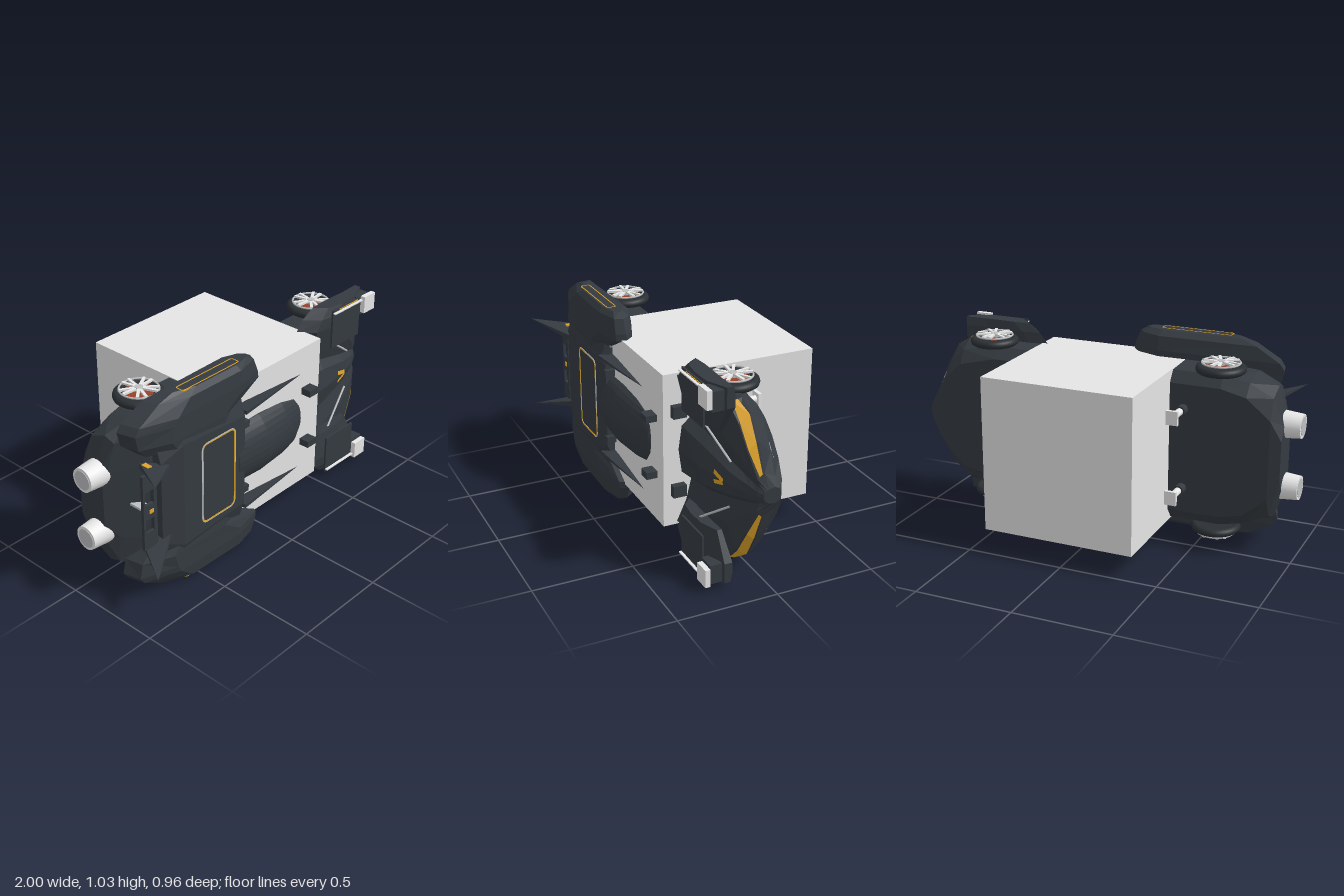
import * as THREE from 'three';

const mat = (name, color) => {
  const m = new THREE.MeshStandardMaterial({ color });
  m.name = name;
  return m;
};

export function createModel() {
  const body = mat('charcoal body', 0x343a40);
  const tyreMat = mat('black rubber', 0x2b3034);
  const boxMat = mat('grey block', 0xe4e4e4);
  const light = mat('light metal', 0xfafafa);
  const gold = mat('gold trim', 0xdfa428);
  const red = mat('rust red', 0x98402a);
  const trim = mat('silver trim', 0xbcbec0);
  gold.side = THREE.DoubleSide;

  const root = new THREE.Group();
  root.name = 'splitCar';
  // The car lies with its roof towards +z; local y = 0 is its centre line.
  const car = new THREE.Group();
  car.name = 'car';
  car.position.y = 0.515;
  root.add(car);

  const add = (name, geo, material, x = 0, y = 0, z = 0, parent = car) => {
    const m = new THREE.Mesh(geo, material);
    m.name = name;
    m.position.set(x, y, z);
    parent.add(m);
    return m;
  };
  const box = (name, material, x0, x1, y0, y1, z0, z1) =>
    add(name, new THREE.BoxGeometry(x1 - x0, Math.abs(y1 - y0), z1 - z0), material,
      (x0 + x1) / 2, (y0 + y1) / 2, (z0 + z1) / 2);
  const rod = (name, a, b, r) => add(name, new THREE.TubeGeometry(
    new THREE.LineCurve3(new THREE.Vector3(...a), new THREE.Vector3(...b)), 1, r, 6), trim);
  const bothSides = (fn) => [1, -1].forEach((s) => fn(s, s > 0 ? 'left' : 'right'));

  // Faceted skin through closed rings of equal length, turned outwards by its volume
  const loft = (rings) => {
    const tris = [];
    const n = rings[0].length;
    const mid = (r) => [0, 1, 2].map((k) => r.reduce((a, p) => a + p[k], 0) / n);
    for (let i = 0; i < rings.length - 1; i++) {
      for (let j = 0; j < n; j++) {
        const k = (j + 1) % n;
        const a = rings[i][j], b = rings[i][k], c = rings[i + 1][k], d = rings[i + 1][j];
        tris.push([a, b, c], [a, c, d]);
      }
    }
    const first = rings[0], last = rings[rings.length - 1];
    for (let j = 0; j < n; j++) {
      const k = (j + 1) % n;
      tris.push([first[k], first[j], mid(first)], [last[j], last[k], mid(last)]);
    }
    const v = (p) => new THREE.Vector3(...p);
    const c0 = v(mid(first));
    const vol = tris.reduce((s, t) =>
      s + v(t[0]).sub(c0).dot(v(t[1]).sub(c0).cross(v(t[2]).sub(c0))), 0);
    if (vol < 0) tris.forEach((t) => t.reverse());
    const g = new THREE.BufferGeometry();
    g.setAttribute('position', new THREE.Float32BufferAttribute(tris.flat(2), 3));
    g.computeVertexNormals();
    return g;
  };
  // Half section [half width, height] from floor to centre ridge, mirrored to a ring
  const section = ([x, pts]) => [
    ...pts.map(([y, z]) => [x, y, z]),
    ...pts.slice(0, -1).reverse().map(([y, z]) => [x, -y, z]),
  ];
  // Rounded rectangle outline in the XY plane
  const frame = (w, h, r, t) => {
    const rect = (P, a, b, q) => {
      const p = new P();
      p.absarc(a - q, b - q, q, 0, Math.PI / 2);
      p.absarc(q - a, b - q, q, Math.PI / 2, Math.PI);
      p.absarc(q - a, q - b, q, Math.PI, Math.PI * 1.5);
      p.absarc(a - q, q - b, q, Math.PI * 1.5, Math.PI * 2);
      return p;
    };
    const s = rect(THREE.Shape, w / 2, h / 2, r);
    s.holes.push(rect(THREE.Path, w / 2 - t, h / 2 - t, r - t));
    return new THREE.ExtrudeGeometry(s, { depth: 0.006, bevelEnabled: false, curveSegments: 5 });
  };

  // Large block parting the two halves of the car
  box('centreBlock', boxMat, -0.365, 0.415, -0.395, 0.39, -0.485, 0.3);

  // Front hull with folded bonnet ridges
  const nose = [
    [0.41, [[0.33, -0.02], [0.385, 0.03], [0.39, 0.13], [0.38, 0.23], [0.27, 0.18], [0.165, 0.155], [0.12, 0.205], [0, 0.222]]],
    [0.6, [[0.33, -0.02], [0.385, 0.03], [0.39, 0.13], [0.375, 0.22], [0.25, 0.18], [0.14, 0.15], [0.1, 0.19], [0, 0.21]]],
    [0.8, [[0.28, -0.02], [0.35, 0.02], [0.4, 0.095], [0.38, 0.16], [0.2, 0.165], [0.09, 0.135], [0.06, 0.165], [0, 0.175]]],
    [0.87, [[0.22, -0.02], [0.29, 0.02], [0.35, 0.085], [0.31, 0.147], [0.16, 0.145], [0.07, 0.12], [0.045, 0.145], [0, 0.155]]],
    [0.93, [[0.14, -0.02], [0.18, 0.02], [0.24, 0.08], [0.2, 0.133], [0.1, 0.125], [0.055, 0.11], [0.035, 0.125], [0, 0.13]]],
    [0.975, [[0.06, -0.015], [0.08, 0.02], [0.105, 0.072], [0.08, 0.105], [0.06, 0.1], [0.04, 0.095], [0.02, 0.105], [0, 0.108]]],
    [1.0, [[0.02, 0], [0.03, 0.01], [0.04, 0.03], [0.035, 0.06], [0.03, 0.07], [0.02, 0.08], [0.01, 0.085], [0, 0.085]]],
  ];
  add('frontHull', loft(nose.map(section)), body);

  // Rear hull
  const tail = [
    [-0.36, [[0.33, -0.02], [0.385, 0.02], [0.39, 0.2], [0.37, 0.33], [0.2, 0.35], [0, 0.35]]],
    [-0.62, [[0.33, -0.02], [0.385, 0.02], [0.39, 0.2], [0.37, 0.33], [0.2, 0.35], [0, 0.35]]],
    [-0.75, [[0.3, -0.02], [0.36, 0.03], [0.385, 0.15], [0.37, 0.27], [0.2, 0.28], [0, 0.28]]],
    [-0.87, [[0.2, -0.015], [0.3, 0.03], [0.34, 0.12], [0.32, 0.18], [0.18, 0.19], [0, 0.19]]],
    [-0.925, [[0.1, 0], [0.17, 0.04], [0.18, 0.09], [0.17, 0.13], [0.1, 0.15], [0, 0.15]]],
  ];
  add('rearHull', loft(tail.map(section)), body);

  // Roof deck and its outlined hatch
  const deck = [[-0.74, 0.3, 0.335], [-0.62, 0.38, 0.36], [-0.21, 0.34, 0.36], [-0.19, 0.31, 0.34]];
  add('roofDeck', loft(deck.map(([x, w, h]) =>
    section([x, [[w, 0.25], [w, h - 0.03], [w * 0.72, h], [0, h]]]))), body);
  add('hatchOutline', frame(0.23, 0.44, 0.035, 0.005), trim, -0.39, 0, 0.356);
  add('hatchInnerOutline', frame(0.22, 0.43, 0.03, 0.005), gold, -0.39, 0, 0.357);

  // Canopy bulge running into the block
  const canopy = [[-0.25, 0.17, 0.365], [-0.05, 0.175, 0.377], [0.12, 0.165, 0.36], [0.22, 0.15, 0.335], [0.265, 0.1, 0.315], [0.275, 0.06, 0.303]];
  add('canopy', loft(canopy.map(([x, w, h]) => {
    const arc = [];
    for (let i = 0; i <= 8; i++) {
      const a = (i / 8) * Math.PI / 2;
      arc.push([w * Math.cos(a), 0.26 + (h - 0.26) * Math.sin(a)]);
    }
    return section([x, arc]);
  })), body);

  // Bonnet accent, two slanted bars
  const bar = new THREE.Shape([[0.725, 0.014], [0.775, 0], [0.795, 0], [0.795, 0.016], [0.725, 0.036]].map((p) => new THREE.Vector2(...p)));
  bothSides((s, side) => {
    const g = new THREE.ShapeGeometry(bar);
    const p = g.attributes.position;
    for (let i = 0; i < p.count; i++) {
      p.setXYZ(i, p.getX(i), s * p.getY(i), 0.217 - (p.getX(i) - 0.6) * 0.175 - p.getY(i) * 0.15);
    }
    g.computeVertexNormals();
    add(side + 'BonnetAccent', g, gold);
  });

  // Rear spoiler frame held between the tail fins
  [[-0.2, -0.11], [-0.04, 0.04], [0.11, 0.2]].forEach(([a, b]) =>
    box('spoilerPad', body, -0.85, -0.765, a, b, 0.315, 0.33));
  box('spoilerBar', body, -0.785, -0.765, -0.2, 0.2, 0.31, 0.33);
  box('spoilerRearBar', body, -0.85, -0.838, -0.2, 0.2, 0.315, 0.33);
  box('spoilerLatch', gold, -0.815, -0.79, -0.01, 0.01, 0.328, 0.334);
  box('spoilerStrut', trim, -0.83, -0.78, -0.006, 0.006, 0.22, 0.315);

  // Fender profiles: [share of length, height]; rings give [y, rear x, front x, height scale]
  const rearProfile = [[0, 0.21], [0.03, 0.29], [0.26, 0.345], [0.78, 0.35], [0.97, 0.32], [1, 0.28], [0.95, 0.24], [0.8, 0.2]];
  const frontProfile = [[0, 0.17], [0.15, 0.245], [0.4, 0.263], [0.7, 0.258], [1, 0.2], [1, 0.16], [0.7, 0.165], [0.23, 0.16]];
  const fender = (profile, cz, s, rings) => loft(rings.map(([y, x0, x1, k]) =>
    profile.map(([t, z]) => [x0 + (x1 - x0) * t, s * y, cz + (z - cz) * k])));

  bothSides((s, side) => {
    // Fenders
    add(side + 'RearFender', fender(rearProfile, 0.29, s,
      [[0.26, -0.8, -0.21, 1.1], [0.31, -0.85, -0.2, 1.15], [0.385, -0.87, -0.055, 1.15], [0.42, -0.845, -0.06, 1.15], [0.49, -0.72, -0.09, 1], [0.515, -0.63, -0.13, 0.65]]), body);
    const outline = frame(0.37, 0.05, 0.012, 0.005);
    outline.rotateX(Math.PI / 2);
    add(side + 'FenderOutline', outline, gold, -0.39, s * 0.513 + 0.003, 0.292);
    add(side + 'FrontFender', fender(frontProfile, 0.2, s,
      [[0.25, 0.45, 0.78, 0.6], [0.385, 0.385, 0.86, 1], [0.44, 0.43, 0.86, 1], [0.485, 0.5, 0.86, 0.8]]), body);
    box(side + 'FenderPlate', body, 0.55, 0.77, s * 0.27, s * 0.48, 0.26, 0.27);
    box(side + 'FenderStripe', gold, 0.6, 0.75, s * 0.472, s * 0.476, 0.267, 0.273);
    box(side + 'FenderRail', light, 0.55, 0.78, s * 0.462, s * 0.468, 0.268, 0.284);
    box(side + 'HeadLamp', light, 0.775, 0.86, s * 0.395, s * 0.485, 0.27, 0.296);
    box(side + 'LampFoot', body, 0.765, 0.855, s * 0.38, s * 0.475, 0.21, 0.27);

    // Gold intake panel set on the steep nose flank
    const at = (i, t) => {
      const [x, p] = nose[i];
      const mix = (k) => p[2][k] + (p[3][k] - p[2][k]) * t;
      return [x + 0.005, s * (mix(0) + 0.005), mix(1) + 0.003];
    };
    const edges = [[2, 0.35, 0.75], [3, 0.15, 0.92], [4, 0.2, 0.92], [5, 0.25, 0.7]];
    const strip = [];
    for (let n = 0; n < edges.length - 1; n++) {
      const [i, a, b] = edges[n], [i2, a2, b2] = edges[n + 1];
      const q = [at(i, a), at(i, b), at(i2, b2), at(i2, a2)];
      if (s > 0) q.reverse();
      strip.push(q[0], q[1], q[2], q[0], q[2], q[3]);
    }
    const panel = new THREE.BufferGeometry();
    panel.setAttribute('position', new THREE.Float32BufferAttribute(strip.flat(), 3));
    panel.computeVertexNormals();
    add(side + 'IntakePanel', panel, gold);
    rod(side + 'BonnetRod', [0.62, s * 0.26, 0.215], [0.83, s * 0.11, 0.16], 0.006);
    rod(side + 'ChinRod', [0.905, s * 0.215, 0.02], [0.935, s * 0.15, 0.012], 0.005);

    // Thrusters
    const nozzle = new THREE.CylinderGeometry(0.06, 0.073, 0.15, 24);
    nozzle.rotateZ(Math.PI / 2);
    add(side + 'Thruster', nozzle, light, -0.925, s * 0.158, 0.103);
    const core = new THREE.CylinderGeometry(0.047, 0.047, 0.004, 24);
    core.rotateZ(Math.PI / 2);
    add(side + 'ThrusterCore', core, trim, -1.0, s * 0.158, 0.103);

    // Tail fins and long vanes, each tapering to a point
    const blade = (a, b, tip, t) => loft([
      [[a[0], s * (a[1] - t), a[2]], [b[0], s * (b[1] - t), b[2]], [b[0], s * (b[1] + t), b[2]], [a[0], s * (a[1] + t), a[2]]],
      [0, 1, 2, 3].map(() => [tip[0], s * tip[1], tip[2]]),
    ]);
    add(side + 'TailFin', blade([-0.8, 0.21, 0.26], [-0.69, 0.19, 0.34], [-0.915, 0.25, 0.478], 0.015), body);
    box(side + 'FinAccent', gold, -0.81, -0.785, s * 0.222, s * 0.23, 0.285, 0.325);
    add(side + 'Vane', blade([-0.22, 0.265, 0.295], [-0.21, 0.265, 0.37], [0.24, 0.27, 0.325], 0.01), body);

    // Canopy blocks, joint blocks and pegs
    box(side + 'CanopyBlock', body, 0.28, 0.345, s * 0.13, s * 0.165, 0.29, 0.355);
    box(side + 'DeckBlock', body, -0.21, -0.165, s * 0.165, s * 0.2, 0.29, 0.35);
    box(side + 'JointBlock', body, 0.4, 0.45, s * 0.175, s * 0.235, 0.195, 0.262);
    [-0.435, 0.458].forEach((x) => {
      const peg = (name, r, z0, z1, m) => {
        const g = new THREE.CylinderGeometry(r, r, z1 - z0, 16);
        g.rotateX(Math.PI / 2);
        add(name, g, m, x, s * 0.205, (z0 + z1) / 2);
      };
      peg(side + 'PegSocket', 0.026, -0.066, 0, body);
      peg(side + 'Peg', 0.018, -0.16, -0.06, light);
      box(side + 'PegFoot', light, x - 0.03, x + 0.03, s * 0.17, s * 0.24, -0.176, -0.158);
    });

    // Wheels
    [[-0.595, 'Rear'], [0.635, 'Front']].forEach(([x, end]) => {
      const wheel = new THREE.Group();
      wheel.name = side + end + 'Wheel';
      wheel.position.set(x, s * 0.408, 0.058);
      wheel.rotation.x = -s * Math.PI / 2;
      car.add(wheel);
      add('tyre', new THREE.TorusGeometry(0.103, 0.021, 10, 36), tyreMat, 0, 0, 0, wheel);
      const disc = new THREE.CylinderGeometry(0.09, 0.09, 0.03, 32);
      disc.rotateX(Math.PI / 2);
      add('wheelDisc', disc, tyreMat, 0, 0, 0, wheel);
      add('brakeDisc', new THREE.RingGeometry(0.02, 0.07, 32), red, 0, 0, 0.018, wheel);
      add('rimRing', new THREE.TorusGeometry(0.093, 0.005, 6, 36), trim, 0, 0, 0.03, wheel);
      for (let i = 0; i < 5; i++) {
        [-0.22, 0.22].forEach((off) => {
          const g = new THREE.BoxGeometry(0.08, 0.014, 0.01);
          g.translate(0.053, 0, 0);
          add('spoke', g, light, 0, 0, 0.034, wheel).rotation.z = (i / 5) * Math.PI * 2 + Math.PI / 2 + off;
        });
      }
      const hub = new THREE.CylinderGeometry(0.02, 0.02, 0.026, 12);
      hub.rotateX(Math.PI / 2);
      add('hub', hub, trim, 0, 0, 0.028, wheel);
    });
  });
  return root;
}
